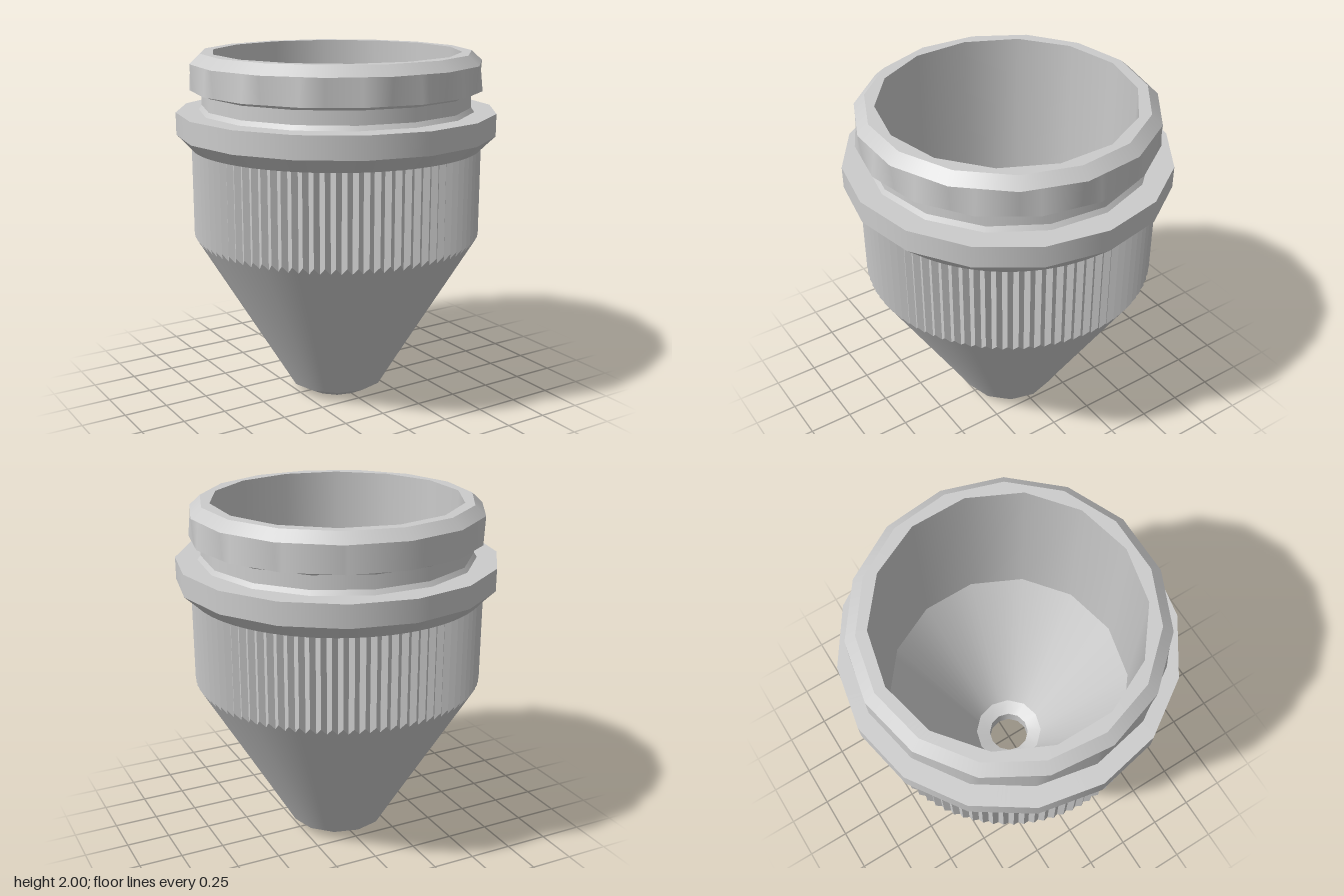
import * as THREE from 'three';

const TAU = Math.PI * 2;

// Radius of a regular polygon (corner radius r, n corners) in direction t; n = 0 is a circle.
function polygonRadius(r, n, phase, t) {
  if (!n) return r;
  const step = TAU / n;
  const local = (((t - phase) % step) + step) % step;
  return (r * Math.cos(step / 2)) / Math.cos(local - step / 2);
}

// A ring is a function (angle, index) -> [radius, height].
const ring = (r, y, n = 0, phase = 0) => (t) => [polygonRadius(r, n, phase, t), y];

// Skin between rings: smooth around the axis, sharp between bands.
// Rings run upwards on the outside and downwards on the inside.
function skin(rings, segments) {
  const pos = [], nor = [], index = [];
  for (let k = 0; k < rings.length - 1; k++) {
    const base = pos.length / 3;
    for (let i = 0; i <= segments; i++) {
      const t = ((i % segments) / segments) * TAU;
      const s = Math.sin(t), c = Math.cos(t);
      const [ra, ya] = rings[k](t, i);
      const [rb, yb] = rings[k + 1](t, i);
      const len = Math.hypot(yb - ya, rb - ra) || 1;
      const nr = (yb - ya) / len, ny = (ra - rb) / len;
      pos.push(ra * s, ya, ra * c, rb * s, yb, rb * c);
      nor.push(nr * s, ny, nr * c, nr * s, ny, nr * c);
      if (i < segments) {
        const a = base + i * 2;
        index.push(a, a + 2, a + 3, a, a + 3, a + 1);
      }
    }
  }
  const g = new THREE.BufferGeometry();
  g.setAttribute('position', new THREE.Float32BufferAttribute(pos, 3));
  g.setAttribute('normal', new THREE.Float32BufferAttribute(nor, 3));
  g.setIndex(index);
  return g;
}

export function createModel() {
  const group = new THREE.Group();
  const smooth = new THREE.MeshStandardMaterial({ color: 0xcccccc, side: THREE.DoubleSide });
  const faceted = smooth.clone();
  faceted.flatShading = true;

  const add = (name, geometry, material = smooth) => {
    const mesh = new THREE.Mesh(geometry, material);
    mesh.name = name;
    group.add(mesh);
  };

  // Grip teeth: alternating ridges and valleys that run out on the cone
  const teeth = 90;
  const toothFoot = (t, i) => (i % 2 ? [0.796, 0.938] : [0.818, 0.975]);
  const toothTop = (t, i) => [toothFoot(t, i)[0], 1.48];
  add('knurledGrip', skin([toothFoot, toothTop], teeth * 2), faceted);

  // Outer cone and bevelled tip
  add('cone', skin([ring(0.28, 0.06, 12), toothFoot], teeth * 2));
  add('tip', skin([
    ring(0.125, 0, 12), ring(0.17, 0, 12), ring(0.28, 0.06, 12),
  ], 12));

  // Flange, bevelled below
  add('flange', skin([
    ring(0.79, 1.475), ring(0.82, 1.475), ring(0.9, 1.55, 16),
    ring(0.9, 1.675, 16), ring(0.73, 1.675, 16),
  ], 240));

  // Groove between flange and rim, with small fillets
  add('groove', skin([
    ring(0.775, 1.675, 15), ring(0.758, 1.7, 15),
    ring(0.755, 1.775, 15), ring(0.775, 1.8, 15),
  ], 15));

  // Rim with bevelled upper edge
  add('rim', skin([
    ring(0.73, 1.797, 15), ring(0.82, 1.797, 16),
    ring(0.82, 1.945, 15, Math.PI), ring(0.76, 2, 15, Math.PI),
  ], 240));
  add('rimTop', skin([ring(0.76, 2, 15, Math.PI), ring(0.7, 2, 14)], 210));

  // Hollow inside: straight bore, funnel, ledge and outlet
  add('innerWall', skin([ring(0.7, 2, 14), ring(0.7, 0.98, 14)], 14));
  add('funnel', skin([ring(0.7, 0.98, 14), ring(0.21, 0.14, 12)], 84));
  add('outlet', skin([
    ring(0.21, 0.14, 12), ring(0.125, 0.11, 12), ring(0.125, 0, 12),
  ], 12));

  return group;
}
